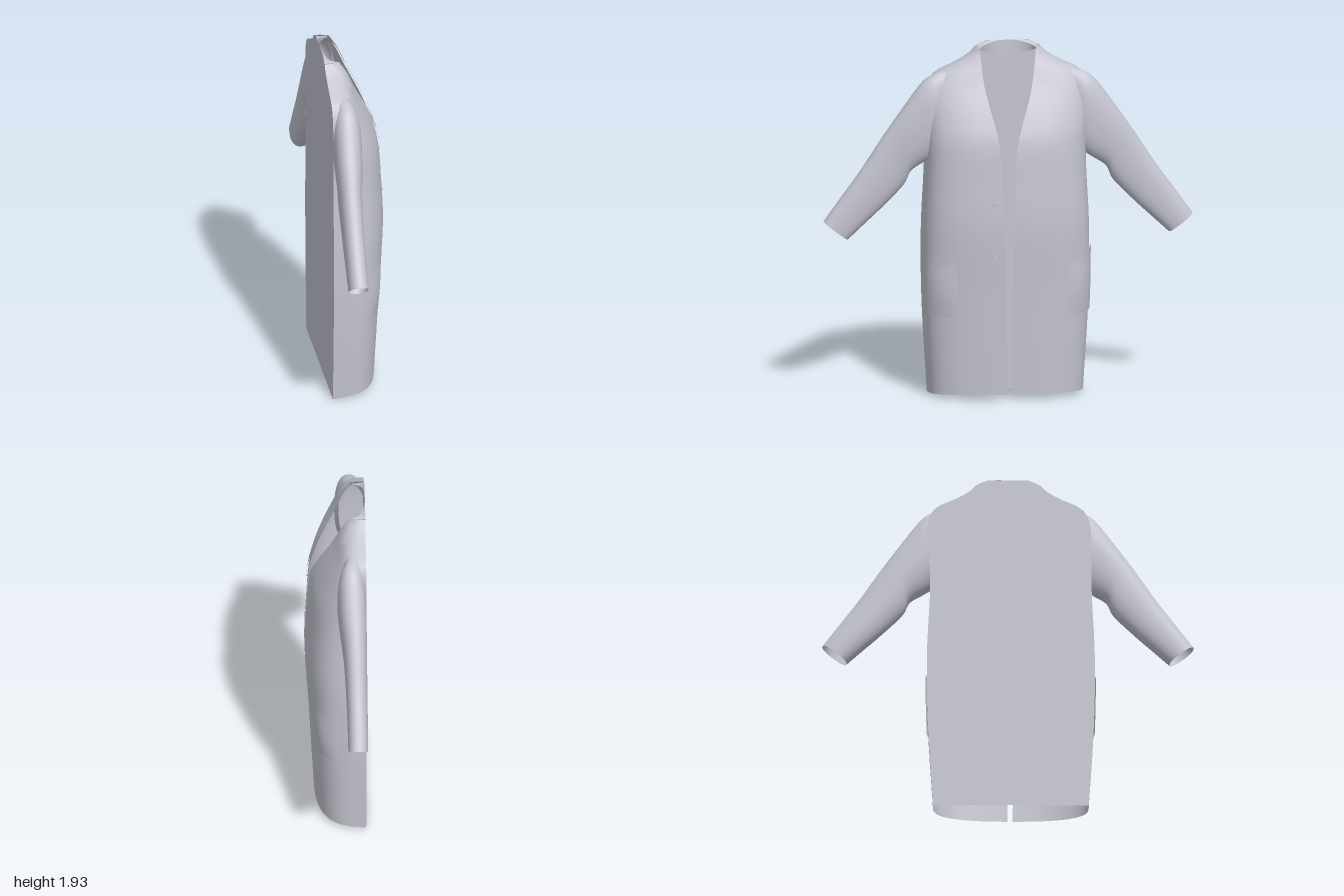
import * as THREE from 'three';

const BACK = -0.165;
const clothMat = new THREE.MeshStandardMaterial({ color: 0xc4c5d0, side: THREE.DoubleSide });
clothMat.name = 'paleGreyCloth';

// Smooth interpolation through [key, value] pairs
function curve(pts) {
  const slope = (i) => {
    const a = pts[Math.max(i - 1, 0)], b = pts[Math.min(i + 1, pts.length - 1)];
    return (b[1] - a[1]) / (b[0] - a[0]);
  };
  return (k) => {
    if (k <= pts[0][0]) return pts[0][1];
    for (let i = 0; i < pts.length - 1; i++) {
      const [k0, v0] = pts[i], [k1, v1] = pts[i + 1];
      if (k > k1) continue;
      const h = k1 - k0, t = (k - k0) / h, t2 = t * t, t3 = t2 * t;
      return (2 * t3 - 3 * t2 + 1) * v0 + (t3 - 2 * t2 + t) * h * slope(i)
        + (3 * t2 - 2 * t3) * v1 + (t3 - t2) * h * slope(i + 1);
    }
    return pts[pts.length - 1][1];
  };
}

// Surface from fn(u, v) -> [x, y, z]
function sheet(name, fn, nu, nv, flip = false) {
  const pos = [], idx = [];
  for (let j = 0; j <= nv; j++)
    for (let i = 0; i <= nu; i++) pos.push(...fn(i / nu, j / nv));
  for (let j = 0; j < nv; j++)
    for (let i = 0; i < nu; i++) {
      const a = j * (nu + 1) + i, b = a + 1, c = a + nu + 1, d = c + 1;
      idx.push(...(flip ? [a, c, b, b, c, d] : [a, b, c, b, d, c]));
    }
  const g = new THREE.BufferGeometry();
  g.setAttribute('position', new THREE.Float32BufferAttribute(pos, 3));
  g.setIndex(idx);
  g.computeVertexNormals();
  const m = new THREE.Mesh(g, clothMat);
  m.name = name;
  return m;
}

// Half width, front depth and opening edge by height
const halfWidth = curve([[0, 0.42], [0.5, 0.448], [0.9, 0.452], [1.3, 0.435], [1.6, 0.44],
  [1.7, 0.43], [1.77, 0.385], [1.82, 0.28], [1.87, 0.2], [1.905, 0.168], [1.93, 0.11]]);
const depth = curve([[0, 0.275], [0.6, 0.305], [0.95, 0.325], [1.2, 0.315], [1.42, 0.295],
  [1.56, 0.245], [1.72, 0.165], [1.83, 0.115], [1.9, 0.07]]);
const edgeLeft = curve([[0, 0.025], [1.37, 0.07], [1.7, 0.14], [1.9, 0.158]]);
const edgeRight = curve([[0, 0], [1.37, 0.022], [1.7, 0.115], [1.9, 0.15]]);

const width = (y, s) => halfWidth(y) + s * 0.015 * THREE.MathUtils.clamp((1.8 - y) / 0.4, 0, 1);
const edge = (y, s) => (s > 0 ? edgeLeft(y) : edgeRight(y));
const round = (r) => Math.pow(Math.max(0, 1 - Math.pow(Math.min(r, 1), 2.5)), 0.28);

// Front depth at height y and distance z from the middle
function frontX(y, z, s) {
  const w = width(y, s);
  return BACK + depth(y) * round(z / w) / round(edge(y, s) / w);
}

function frontPanel(s) {
  return sheet('frontPanel', (u, v) => {
    const y = v * 1.9, e = edge(y, s);
    const z = e + (width(y, s) - e) * (1 - Math.pow(1 - u, 3));
    const x = frontX(y, z, s);
    const hem = 0.03 * (x - BACK) / 0.28 * Math.max(0, 1 - y / 0.3);
    return [x, y + hem, s * z];
  }, 28, 64, s > 0);
}

// Lapel and collar fold, with the notch between them
function lapel(s) {
  const outer = [[1.37, 0], [1.45, 0.04], [1.58, 0.095], [1.7, 0.115], [1.725, 0.112],
    [1.765, 0.07], [1.8, 0.125], [1.83, 0.1], [1.87, 0.045], [1.9, 0.008]];
  const n = outer.length - 1;
  return sheet('lapel', (u, v) => {
    const k = Math.min(Math.floor(v * n), n - 1), t = v * n - k;
    const y = THREE.MathUtils.lerp(outer[k][0], outer[k + 1][0], t);
    const z = edge(y, s) + u * THREE.MathUtils.lerp(outer[k][1], outer[k + 1][1], t);
    return [frontX(y, z, s) + 0.009, y + 0.003, s * z];
  }, 8, n * 4, s > 0);
}

// Patch pocket, swelling towards its lower edge
function pocket(s) {
  return sheet('pocket', (u, v) => {
    const y = 0.46 + v * 0.35, w = width(y, s);
    const z = 0.3 + u * (w * 0.995 - 0.3);
    const puff = 0.004 + 0.012 * Math.sin(Math.PI * Math.min(1, v * 1.2 + 0.02)) * Math.sin(Math.PI * (0.1 + 0.8 * u));
    return [frontX(y, z, s) + puff, y, s * (z + 0.008 * u)];
  }, 12, 12, s > 0);
}

// Sleeve: distance along -> top and bottom outline, and front depth
function sleeve(s) {
  const st = [[0.34, 1.785, 0.36, 1.38, -0.03], [0.41, 1.765, 0.41, 1.32, -0.01], [0.475, 1.715, 0.46, 1.285, -0.012],
    [0.58, 1.57, 0.53, 1.235, -0.025], [0.68, 1.425, 0.57, 1.155, -0.04], [0.8, 1.24, 0.69, 1.03, -0.05],
    [0.9, 1.1, 0.78, 0.945, -0.055], [1.0, 0.96, 0.87, 0.86, -0.058]];
  const f = [0, 1, 2, 3, 4].map((c) => curve(st.map((p, i) => [i / (st.length - 1), p[c]])));
  const soft = (a) => Math.sign(a) * Math.pow(Math.abs(a), 0.85);
  return sheet('sleeve', (u, v) => {
    const [zt, yt, zb, yb, xf] = f.map((g) => g(v));
    const a = u * Math.PI * 2, k = (soft(Math.sin(a)) + 1) / 2;
    const x = (xf + BACK) / 2 + (xf - BACK) / 2 * soft(Math.cos(a));
    return [x, yb + (yt - yb) * k, s * (zb + (zt - zb) * k)];
  }, 32, 40, s < 0);
}

// Collar band round the back of the neck
function neckBand(s) {
  const path = (pts) => new THREE.CatmullRomCurve3(pts.map((p) => new THREE.Vector3(...p)));
  const inner = path([[-0.088, 1.897, 0.155], [-0.135, 1.905, 0.13], [-0.16, 1.925, 0.06], [BACK, 1.93, 0]]);
  const outer = path([[BACK, 1.9, 0.168], [BACK, 1.912, 0.15], [BACK, 1.93, 0.08], [BACK, 1.93, 0]]);
  const g = new THREE.Group();
  g.name = 'collarBand';
  g.add(sheet('collarTop', (u, v) => {
    const p = inner.getPoint(u).lerp(outer.getPoint(u), v);
    return [p.x, p.y, s * p.z];
  }, 16, 4, s < 0));
  g.add(sheet('collarStand', (u, v) => {
    const p = inner.getPoint(u);
    return [THREE.MathUtils.lerp(p.x, BACK + 0.004, v * u), p.y - 0.1 * v * u, s * p.z];
  }, 16, 4, s < 0));
  return g;
}

export function createModel() {
  const coat = new THREE.Group();
  coat.name = 'coat';

  // Flat back
  coat.add(sheet('backPanel', (u, v) => {
    const y = v * 1.93;
    return [BACK, y, THREE.MathUtils.lerp(-width(y, -1), width(y, 1), u)];
  }, 8, 65));

  for (const s of [1, -1]) {
    const side = new THREE.Group();
    side.name = s > 0 ? 'positiveZHalf' : 'negativeZHalf';
    side.add(frontPanel(s), lapel(s), pocket(s), sleeve(s), neckBand(s));
    coat.add(side);
  }

  // Buttons down the overlapping edge
  const buttonGeo = new THREE.CylinderGeometry(0.014, 0.014, 0.008, 16).rotateZ(-Math.PI / 2);
  for (const y of [1.34, 1.09, 0.8]) {
    const b = new THREE.Mesh(buttonGeo, clothMat);
    b.name = 'button';
    b.position.set(frontX(y, 0.1, 1) + 0.002, y, 0.1);
    coat.add(b);
  }
  return coat;
}
